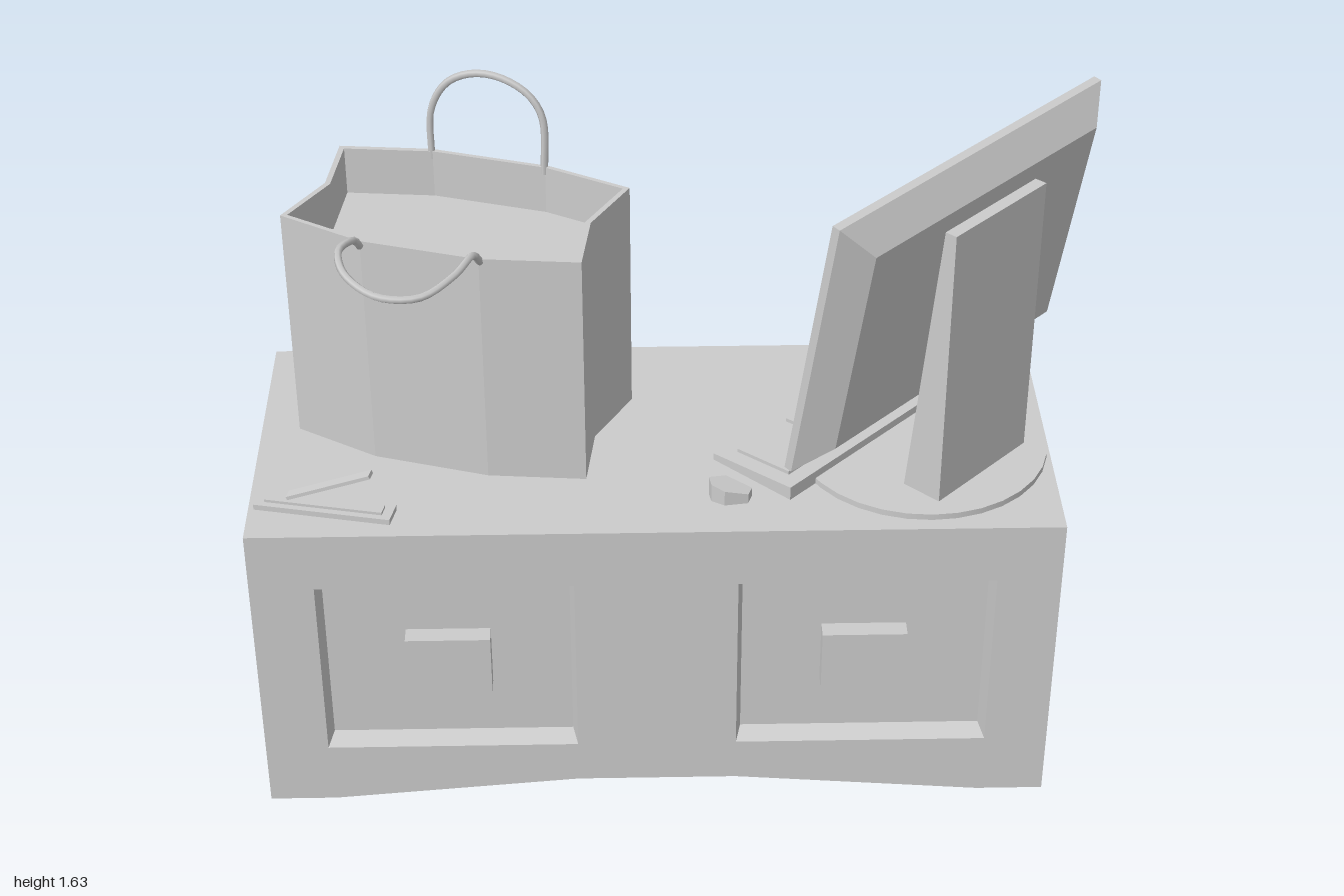
import * as THREE from 'three';

const grey = new THREE.MeshStandardMaterial({ color: 0xcccccc, side: THREE.DoubleSide });
grey.name = 'plain grey';

const THETA = Math.atan2(-0.718, -0.697); // heading of the screen and keyboard
const DESK = 0.79;

function add(parent, name, geometry, x = 0, y = 0, z = 0) {
  const mesh = new THREE.Mesh(geometry, grey);
  mesh.name = name;
  mesh.position.set(x, y, z);
  parent.add(mesh);
  return mesh;
}

function group(parent, name, x = 0, y = 0, z = 0, rotY = 0, tilt = 0) {
  const g = new THREE.Group();
  g.name = name;
  g.position.set(x, y, z);
  g.rotation.set(tilt, rotY, 0, 'YXZ');
  parent.add(g);
  return g;
}

const box = (w, h, d) => new THREE.BoxGeometry(w, h, d);

// Flat quads, corners counter-clockwise as seen from the front
function quads(list) {
  const pos = list.flatMap(([a, b, c, d]) => [a, b, c, a, c, d].flat());
  const g = new THREE.BufferGeometry();
  g.setAttribute('position', new THREE.Float32BufferAttribute(pos, 3));
  g.computeVertexNormals();
  return g;
}

const rect = (x0, x1, y0, y1, z = 0) => [[x0, y0, z], [x1, y0, z], [x1, y1, z], [x0, y1, z]];

// Bevelled rectangular step: sunk when depth > 0, raised when depth < 0
function step([x0, x1, y0, y1], inset, depth) {
  const o = rect(x0, x1, y0, y1);
  const n = rect(x0 + inset, x1 - inset, y0 + inset, y1 - inset, -depth);
  return quads([n, ...o.map((p, i) => [p, o[(i + 1) % 4], n[(i + 1) % 4], n[i]])]);
}

const toShape = pts => new THREE.Shape(pts.map(p => new THREE.Vector2(p[0], p[1])));

// One face of the cabinet with its recesses
function face(parent, name, outline, recesses, x, z, rotY) {
  const g = group(parent, name, x, 0, z, rotY);
  const shape = toShape(outline);
  for (const r of recesses) {
    shape.holes.push(new THREE.Path(rect(...r.area).map(p => new THREE.Vector2(p[0], p[1]))));
    add(g, r.knob ? 'recessedPanel' : 'openShelf', step(r.area, r.inset, r.depth));
    if (r.knob) {
      const [x0, x1, y0, y1] = r.area;
      add(g, 'knob', box(r.knob, 0.16, 0.045), (x0 + x1) / 2, (y0 + y1) / 2, -r.depth + 0.0225);
    }
  }
  add(g, 'facePlate', new THREE.ShapeGeometry(shape));
}

// Prism standing up from a plan outline of [x, z] points
function prism(pts, height, hole) {
  const flip = list => list.map(([x, z]) => [x, -z]);
  const shape = toShape(flip(pts));
  if (hole) shape.holes.push(toShape(flip(hole)));
  return new THREE.ExtrudeGeometry(shape, { depth: height, bevelEnabled: false }).rotateX(-Math.PI / 2);
}

function tube(pts, radius) {
  const curve = new THREE.CatmullRomCurve3(pts.map(p => new THREE.Vector3(...p)), false, 'centripetal');
  return new THREE.TubeGeometry(curve, 32, radius, 6);
}

// Move each vertex by a rule
function reshape(g, rule) {
  const p = g.attributes.position, v = new THREE.Vector3();
  for (let i = 0; i < p.count; i++) {
    rule(v.fromBufferAttribute(p, i));
    p.setXYZ(i, v.x, v.y, v.z);
  }
  g.computeVertexNormals();
  return g;
}

function buildDesk(root) {
  const desk = group(root, 'desk');
  const foot = [[-1, 0], [-0.84, 0], [-0.25, 0.05], [0.13, 0.05], [0.72, 0], [0.88, 0]];
  const outline = [...foot, [0.88, DESK], [-1, DESK]];
  const panel = (x0, x1) => ({ area: [x0, x1, 0.16, 0.64], inset: 0.012, depth: 0.05, knob: 0.2 });
  face(desk, 'deskFront', outline, [panel(-0.85, -0.25), panel(0.13, 0.73)], 0, 0.39, 0);
  face(desk, 'deskBack', outline.map(([x, y]) => [-x, y]), [
    { area: [-0.73, -0.13, 0.16, 0.64], inset: 0, depth: 0.3 },
    { area: [0.25, 0.85, 0.32, 0.64], inset: 0, depth: 0.3 }
  ], 0, -0.395, Math.PI);
  for (const [name, x, turn] of [['deskLeft', 0.88, 1], ['deskRight', -1, -1]]) {
    const side = { area: [-0.235, 0.235, 0.16, 0.64], inset: 0.025, depth: 0.05, knob: 0.15 };
    face(desk, name, rect(-0.3925, 0.3925, 0, DESK), [side], x, -0.0025, turn * Math.PI / 2);
  }
  const top = [[-1, DESK, 0.39], [0.88, DESK, 0.39], [0.88, DESK, -0.395], [-1, DESK, -0.395]];
  add(desk, 'deskTop', quads([top]));
  add(desk, 'archedUnderside', quads(foot.slice(1).map(([x, y], i) => {
    const [px, py] = foot[i];
    return [[px, py, -0.395], [x, y, -0.395], [x, y, 0.39], [px, py, 0.39]];
  })));
}

function buildShelfContents(root) {
  // Lying and leaning books
  const books = group(root, 'books');
  for (let i = 0; i < 3; i++)
    add(books, 'lyingBook', box(0.42, 0.041, 0.22), 0.51 - 0.004 * (i % 2), 0.181 + i * 0.043, -0.26);
  for (let i = 0; i < 2; i++)
    add(books, 'leaningBook', box(0.045, 0.33, 0.22), 0.2 + i * 0.055, 0.332 - i * 0.01, -0.265).rotation.z = -0.15;

  // Flat case with a drooping handle
  const flatCase = group(root, 'carryCase');
  for (let i = 0; i < 2; i++)
    add(flatCase, 'caseHalf', box(0.54, 0.025, 0.25), -0.56, 0.334 + i * 0.028, -0.28);
  add(flatCase, 'caseHandle', tube([
    [-0.69, 0.36, -0.39], [-0.69, 0.35, -0.43], [-0.67, 0.27, -0.47], [-0.62, 0.215, -0.482],
    [-0.46, 0.215, -0.482], [-0.41, 0.27, -0.47], [-0.39, 0.35, -0.43], [-0.39, 0.36, -0.39]], 0.014));
}

function buildBag(root) {
  const bag = group(root, 'shoppingBag');
  const plan = [[-0.8, -0.38], [-0.58, -0.36], [-0.3, -0.27], [-0.11, -0.16], [-0.2, 0],
    [-0.22, 0.175], [-0.45, 0.155], [-0.72, 0.07], [-0.91, -0.05], [-0.82, -0.2]];
  const inner = plan.map(([x, z]) => [-0.51 + (x + 0.51) * 0.96, -0.1 + (z + 0.1) * 0.95]);
  add(bag, 'bagWalls', prism(plan, 0.59, inner), 0, DESK);
  add(bag, 'bagFilling', prism(inner, 0.47), 0, DESK);
  const back = [[-0.58, 1.36], [-0.575, 1.49], [-0.535, 1.565], [-0.475, 1.598], [-0.41, 1.598],
    [-0.345, 1.565], [-0.312, 1.51], [-0.31, 1.36]];
  add(bag, 'uprightHandle', tube(back.map(([x, y]) => [x, y, -0.355 + (x + 0.58) * 0.32]), 0.009));
  add(bag, 'foldedHandle', tube([[-0.72, 1.37, 0.075], [-0.73, 1.4, 0.1], [-0.757, 1.415, 0.17],
    [-0.735, 1.41, 0.27], [-0.66, 1.4, 0.345], [-0.57, 1.4, 0.35], [-0.5, 1.41, 0.28],
    [-0.46, 1.41, 0.19], [-0.447, 1.37, 0.15]], 0.009));
}

function buildMonitor(root) {
  const monitor = group(root, 'monitor');
  const W = 0.933, H = 0.68;
  const panel = group(monitor, 'display', 0.555, 0.955, 0.035, THETA, -0.167);
  add(panel, 'frame', box(W, H, 0.02), 0, H / 2, -0.01);
  add(panel, 'screen', box(W - 0.03, H - 0.03, 0.004), 0, H / 2, 0);
  const shell = add(panel, 'backShell', step([-W / 2, W / 2, 0, H], 0.07, -0.058), 0, 0, -0.02);
  shell.rotation.y = Math.PI;

  const stand = group(monitor, 'stand', 0.707, DESK, 0.187, THETA);
  const neck = reshape(box(0.325, 0.72, 1), v => {
    v.y += 0.36;
    v.z = v.z > 0 ? 0.105 - 0.075 * v.y / 0.72 : 0;
  });
  add(stand, 'neck', neck);
  add(stand, 'mount', box(0.2, 0.16, 0.09), 0, 0.58, 0.065);
  add(monitor, 'base', new THREE.CylinderGeometry(0.3, 0.3, 0.015, 32), 0.575, DESK + 0.0075, 0.055);
}

function buildDesktopItems(root) {
  // Wedge keyboard with key fields
  const keyboard = group(root, 'keyboard', 0.4, DESK, -0.055, THETA);
  add(keyboard, 'keyboardBody', reshape(box(0.67, 1, 0.24), v => {
    v.y = v.y > 0 ? 0.026 - v.z * 0.07 : 0;
  }));
  for (const [name, w, x] of [['mainKeys', 0.4, -0.08], ['numberKeys', 0.13, 0.23]])
    add(keyboard, name, box(w, 0.012, 0.16), x, 0.029, 0).rotation.x = 0.07;

  // Mouse
  const mouse = [[0.065, 0.24], [0.105, 0.22], [0.165, 0.25], [0.155, 0.28], [0.1, 0.288], [0.07, 0.27]];
  add(root, 'mouse', reshape(prism(mouse, 0.035), v => {
    if (v.y > 0.01) v.y += (0.115 - v.x) * 0.25;
  }), 0, DESK);

  // Stapler with raised arm
  const stapler = group(root, 'stapler', -0.822, DESK, 0.284, -0.21);
  add(stapler, 'staplerBase', box(0.325, 0.014, 0.06), 0, 0.007);
  add(stapler, 'staplerRail', box(0.28, 0.008, 0.03), 0, 0.017);
  add(stapler, 'staplerArm', box(0.22, 0.009, 0.026), 0.015, 0.072, 0).rotation.z = 0.4;
}

export function createModel() {
  const root = new THREE.Group();
  root.name = 'deskWithComputer';
  buildDesk(root);
  buildShelfContents(root);
  buildBag(root);
  buildMonitor(root);
  buildDesktopItems(root);
  return root;
}
